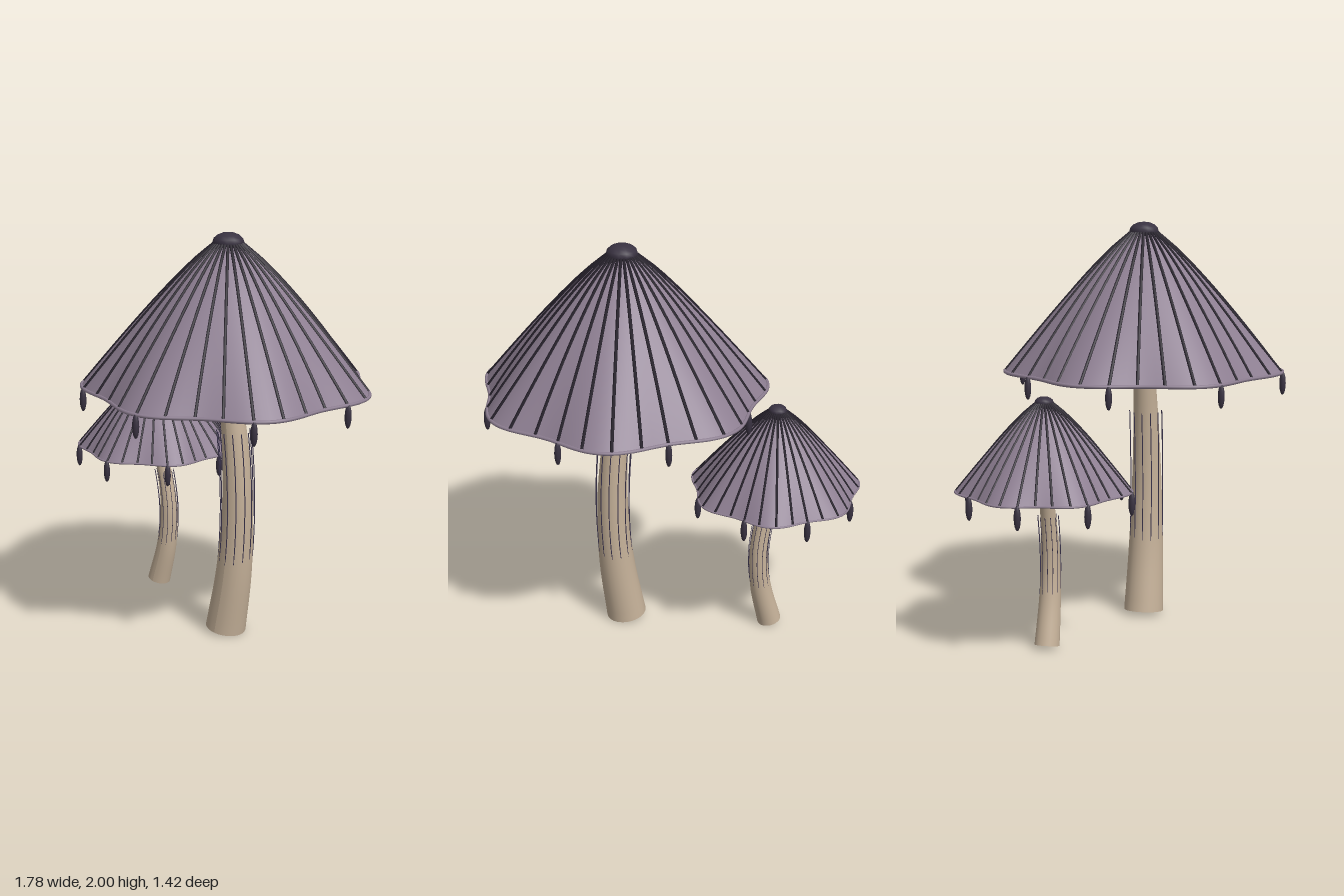
import * as THREE from 'three';
import { ParametricGeometry } from 'three/addons/geometries/ParametricGeometry.js';

const material = (name, color, side = THREE.FrontSide) => {
  const m = new THREE.MeshStandardMaterial({ color, side });
  m.name = name;
  return m;
};

// One mushroom; s scales cap and stem, path is the stem centre line
function createMushroom(name, s, x, z, rimY, stemPoints, fibreRange, mats) {
  const group = new THREE.Group();
  group.name = name;
  const add = (part, geometry, mat) => {
    const mesh = new THREE.Mesh(geometry, mat);
    mesh.name = part;
    group.add(mesh);
    return mesh;
  };

  // Cap surface: slightly convex cone whose edge waves in seven lobes
  const capPoint = (angle, t, target = new THREE.Vector3()) => {
    const wave = 0.03 * Math.cos(7 * (angle - Math.PI / 2));
    const r = s * t * (0.67 + wave * t * t);
    const y = rimY + s * 0.72 * (1 - Math.pow(t, 1.25));
    return target.set(x + r * Math.cos(angle), y, z + r * Math.sin(angle));
  };
  add('cap', new ParametricGeometry(
    (u, v, target) => capPoint(u * Math.PI * 2, 0.01 + 0.99 * v, target), 112, 24), mats.cap);

  // Rounded lip along the wavy edge
  const rim = [];
  for (let i = 0; i < 84; i++) rim.push(capPoint(i / 84 * Math.PI * 2, 0.995));
  add('capLip', new THREE.TubeGeometry(
    new THREE.CatmullRomCurve3(rim, true), 168, 0.009 * s, 6, true), mats.cap);

  // Dark ribs running down the cap
  for (let i = 0; i < 32; i++) {
    const angle = i / 32 * Math.PI * 2;
    const points = [0.08, 0.25, 0.45, 0.65, 0.85, 0.99].map((t) => capPoint(angle, t));
    add('rib', new THREE.TubeGeometry(
      new THREE.CatmullRomCurve3(points), 14, 0.003 + 0.005 * s, 6), mats.rib);
  }

  // Knob on the tip
  const knob = add('knob', new THREE.SphereGeometry(0.075 * s, 12, 8), mats.knob);
  knob.scale.y = 0.62;
  knob.position.set(x, rimY + s * 0.684, z);

  // Drops hanging from the rim
  for (let i = 0; i < 8; i++) {
    const drop = add('drop', new THREE.SphereGeometry(0.016, 10, 8), mats.knob);
    drop.scale.y = 3.6;
    drop.position.copy(capPoint(i / 8 * Math.PI * 2, 1));
    drop.position.y -= 0.047;
  }

  // Curved, tapering stem: a cylinder bent along the path
  const path = new THREE.CatmullRomCurve3(
    stemPoints.map(([px, py]) => new THREE.Vector3(px, py, z)));
  const stem = new THREE.CylinderGeometry(0.052 * s, 0.1 * s, 1, 24, 24);
  const pos = stem.attributes.position;
  for (let i = 0; i < pos.count; i++) {
    const t = THREE.MathUtils.clamp(pos.getY(i) + 0.5, 0, 1);
    const p = path.getPointAt(t);
    const d = path.getTangentAt(t);
    const side = pos.getX(i);
    pos.setXYZ(i, p.x + d.y * side, p.y - d.x * side, p.z + pos.getZ(i));
  }
  stem.computeVertexNormals();
  add('stem', stem, mats.stem);

  // Fine fibres standing just off the stem
  for (let i = 0; i < 12; i++) {
    const angle = i / 12 * Math.PI * 2;
    const points = [];
    for (let k = 0; k <= 6; k++) {
      const p = path.getPointAt(THREE.MathUtils.lerp(fibreRange[0], fibreRange[1], k / 6));
      p.x += Math.cos(angle) * 0.084 * s;
      p.z += Math.sin(angle) * 0.084 * s;
      points.push(p);
    }
    add('fibre', new THREE.TubeGeometry(
      new THREE.CatmullRomCurve3(points), 14, 0.0025 * s, 5), mats.fibre);
  }
  return group;
}

export function createModel() {
  const mats = {
    cap: material('dusty purple', 0x8e7f92, THREE.DoubleSide),
    rib: material('near black', 0x241f29),
    knob: material('dark plum', 0x393241),
    stem: material('tan', 0xc4b098),
    fibre: material('dark violet', 0x3d3650),
  };
  const model = new THREE.Group();
  model.name = 'mushrooms';
  model.add(createMushroom('largeMushroom', 1, 0.2, 0, 1.273,
    [[0.2, 0.02], [0.247, 0.33], [0.265, 0.65], [0.247, 1.0], [0.2, 1.31]], [0.24, 0.8], mats));
  model.add(createMushroom('smallMushroom', 0.6, -0.47, -0.31, 0.785,
    [[-0.465, 0.02], [-0.412, 0.23], [-0.395, 0.42], [-0.42, 0.62], [-0.47, 0.8]], [0.2, 0.8], mats));
  return model;
}
